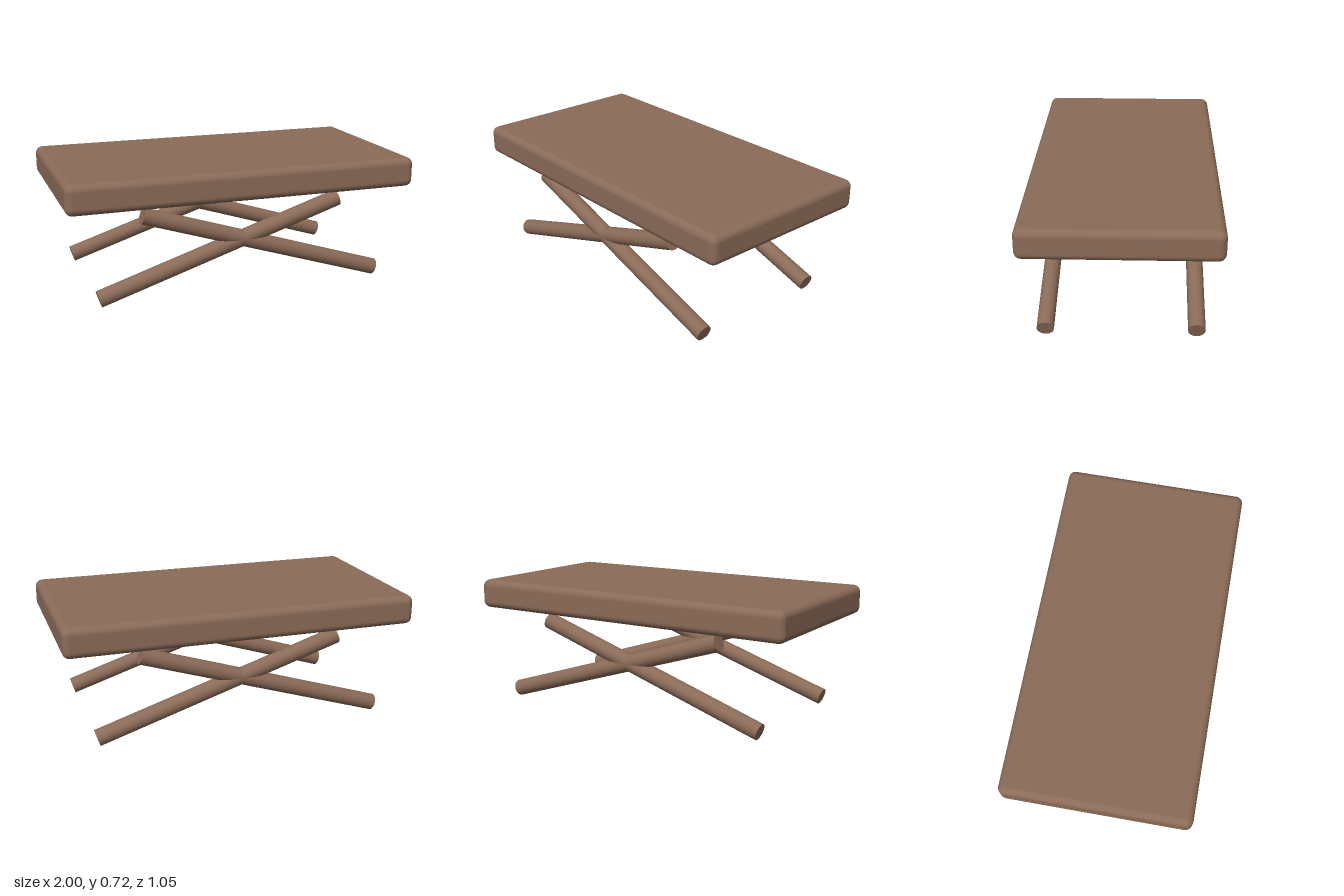
import * as THREE from 'three';
import { RoundedBoxGeometry } from 'three/addons/geometries/RoundedBoxGeometry.js';

export function createModel() {
  const model = new THREE.Group();
  model.name = 'crossLeggedTable';
  const wood = new THREE.MeshStandardMaterial({ color: 0x8b6b58 });
  wood.name = 'brown wood';

  // Thick table top with softened edges
  const top = new THREE.Mesh(new RoundedBoxGeometry(2, 0.168, 1.054, 4, 0.04), wood);
  top.name = 'tableTop';
  top.position.y = 0.637;
  model.add(top);

  // Round bar from the floor on one side to just under the top on the other
  const foot = new THREE.Vector2(-0.824, 0.049);
  const head = new THREE.Vector2(0.574, 0.496);
  const span = head.clone().sub(foot);
  const middle = foot.clone().add(head).multiplyScalar(0.5);
  const barGeometry = new THREE.CylinderGeometry(0.047, 0.047, span.length(), 16);

  // A crossed pair of bars at the front and at the back
  for (const [end, z] of [['front', 0.404], ['back', -0.404]]) {
    const pair = new THREE.Group();
    pair.name = end + 'CrossLegs';
    pair.position.z = z;
    for (const side of [1, -1]) {
      const leg = new THREE.Mesh(barGeometry, wood);
      leg.name = end + (side > 0 ? 'RisingLeftLeg' : 'RisingRightLeg');
      leg.position.set(side * middle.x, middle.y, 0);
      leg.rotation.z = -side * Math.atan2(span.x, span.y);
      pair.add(leg);
    }
    model.add(pair);
  }
  return model;
}
